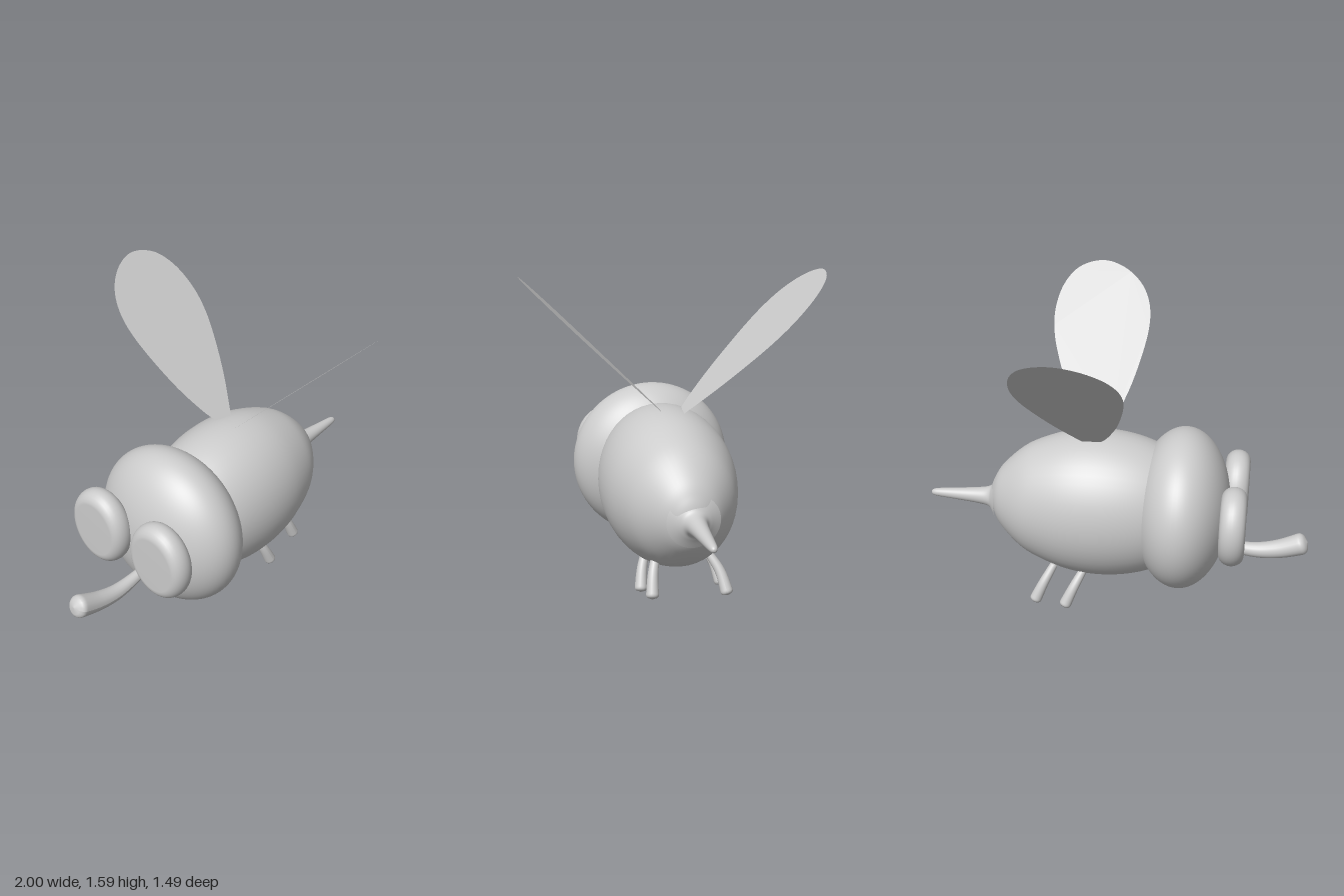
import * as THREE from 'three';

const grey = new THREE.MeshStandardMaterial({ color: 0xcccccc });
const thin = new THREE.MeshStandardMaterial({ color: 0xcccccc, side: THREE.DoubleSide });
const V = (x, y, z) => new THREE.Vector3(x, y, z);

// Smooth turned shape along +x; profile is a list of [x, radius]
function turned(profile, samples = 48) {
  const curve = new THREE.SplineCurve(profile.map(([x, r]) => new THREE.Vector2(r, x)));
  const pts = curve.getPoints(samples).map(p => p.set(Math.max(p.x, 0), p.y));
  return new THREE.LatheGeometry(pts, 48).rotateZ(-Math.PI / 2);
}

// Tube with a radius growing from r0 to r1 and rounded ends
function taperedTube(points, r0, r1, segments = 60) {
  const curve = new THREE.CatmullRomCurve3(points);
  const length = curve.getLength();
  const geo = new THREE.TubeGeometry(curve, segments, 1, 20, false);
  const pos = geo.attributes.position, uv = geo.attributes.uv;
  for (let i = 0; i < pos.count; i++) {
    const u = uv.getX(i), c = curve.getPointAt(u);
    const r = THREE.MathUtils.lerp(r0, r1, u);
    const d = Math.min(1, (Math.min(u, 1 - u) * length) / (r * 0.7));
    const p = V(0, 0, 0).fromBufferAttribute(pos, i).sub(c);
    p.multiplyScalar(r * Math.sqrt(1 - (1 - d) ** 2)).add(c);
    pos.setXYZ(i, p.x, p.y, p.z);
  }
  geo.computeVertexNormals();
  return geo;
}

export function createModel() {
  const bee = new THREE.Group();
  bee.name = 'bee';
  const add = (name, geo, material = grey) => {
    const mesh = new THREE.Mesh(geo, material);
    mesh.name = name;
    bee.add(mesh);
    return mesh;
  };

  // Egg-shaped abdomen, taller than wide
  const body = add('body', turned([
    [-0.42, 0], [-0.4, 0.15], [-0.32, 0.28], [-0.19, 0.347], [-0.05, 0.385], [0.1, 0.396],
    [0.25, 0.378], [0.4, 0.328], [0.5, 0.272], [0.6, 0.178], [0.645, 0.105], [0.665, 0.05], [0.67, 0],
  ], 80));
  body.position.set(0, 0.523, 0.02);
  body.scale.z = 0.86;

  // Stinger flaring into the body
  const stinger = add('stinger', turned([
    [0.63, 0.13], [0.655, 0.085], [0.68, 0.056], [0.74, 0.043], [0.85, 0.032], [0.95, 0.023],
    [0.985, 0.017], [0.998, 0.008], [1, 0],
  ]));
  stinger.position.set(0, 0.51, 0.014);

  // Flattened round head
  const head = add('head', new THREE.SphereGeometry(1, 64, 48));
  head.scale.set(0.25, 0.42, 0.42);
  head.position.set(-0.345, 0.53, 0.015);

  // Pill-shaped eyes
  for (const side of [-1, 1]) {
    const rim = [[0, 0]];
    for (let i = 0; i <= 12; i++) {
      const a = Math.PI * (i / 12);
      rim.push([0.064 - 0.064 * Math.cos(a), 0.145 + 0.06 * Math.sin(a)]);
    }
    rim.push([0.128, 0]);
    const pts = rim.map(([x, r]) => new THREE.Vector2(r, x));
    const eye = add(side > 0 ? 'leftEye' : 'rightEye',
      new THREE.LatheGeometry(pts, 48).rotateZ(-Math.PI / 2));
    eye.scale.z = 0.86;
    eye.position.set(-0.68, 0.565, side * 0.203 + 0.002);
  }

  // Curved mouth tube widening to its tip
  add('proboscis', taperedTube([
    V(-0.5, 0.36, 0.005), V(-0.6, 0.33, 0.003), V(-0.73, 0.314, 0),
    V(-0.85, 0.332, -0.004), V(-1.0, 0.388, -0.008),
  ], 0.022, 0.06));

  // Wing blades rising outward at 45 degrees
  const outline = [
    [0.165, 0.045], [0.27, 0.19], [0.35, 0.33], [0.395, 0.44], [0.405, 0.54], [0.375, 0.64],
    [0.3, 0.715], [0.175, 0.745], [0.05, 0.715], [-0.05, 0.645], [-0.1, 0.55], [-0.098, 0.43],
    [-0.045, 0.25], [0.02, 0.12], [0.065, 0.06],
  ].map(p => new THREE.Vector2(...p));
  const wingShape = new THREE.Shape(new THREE.SplineCurve(outline).getPoints(90));
  for (const side of [-1, 1]) {
    const geo = new THREE.ShapeGeometry(wingShape);
    const pos = geo.attributes.position;
    for (let i = 0; i < pos.count; i++) {
      const t = pos.getY(i);
      pos.setXYZ(i, pos.getX(i), t + 0.855, side * t);
    }
    geo.computeVertexNormals();
    add(side > 0 ? 'leftWing' : 'rightWing', geo, thin);
  }

  // Four short legs: [tip x, tip y, root z, tip z]
  const legs = [
    [0.245, 0.01, 0.14, 0.19], [0.46, 0.062, 0.135, 0.175],
    [0.245, 0.01, -0.14, -0.23], [0.405, 0.022, -0.14, -0.22],
  ];
  for (const [x, y, z0, z1] of legs) {
    add('leg', taperedTube([
      V(x - 0.1, y + 0.2, z0), V(x - 0.05, y + 0.11, z0 + (z1 - z0) * 0.65), V(x, y, z1),
    ], 0.02, 0.033, 32));
  }
  return bee;
}
